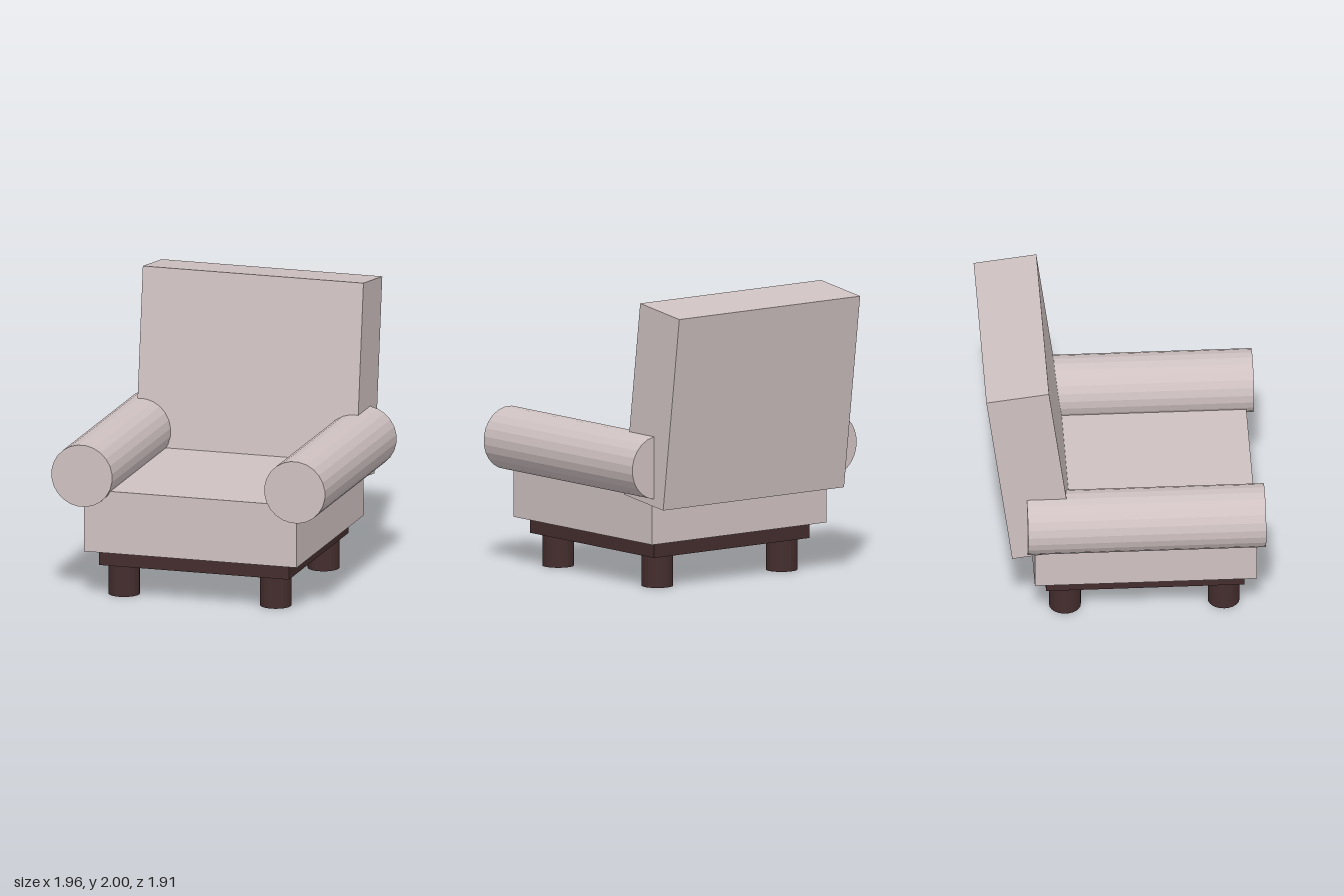
import * as THREE from 'three';

const fabric = new THREE.MeshStandardMaterial({ color: 0xcfc1c1, flatShading: true });
fabric.name = 'fabric';
const darkWood = new THREE.MeshStandardMaterial({ color: 0x442d2d, flatShading: true });
darkWood.name = 'darkWood';

export function createModel() {
  const armchair = new THREE.Group();
  armchair.name = 'armchair';

  const add = (name, geometry, material, x, y, z) => {
    const mesh = new THREE.Mesh(geometry, material);
    mesh.name = name;
    mesh.position.set(x, y, z);
    armchair.add(mesh);
    return mesh;
  };

  // Wooden plinth and seat block
  add('base', new THREE.BoxGeometry(1.364, 0.11, 1.364), darkWood, 0, 0.277, 0.143);
  add('seat', new THREE.BoxGeometry(1.528, 0.438, 1.526), fabric, 0, 0.551, 0.143);

  // Backrest leaning to the rear
  const back = add('backrest', new THREE.BoxGeometry(1.586, 1.362, 0.434), fabric, 0, 1.2975, -0.651);
  back.rotation.x = -THREE.MathUtils.degToRad(7.5);

  // Bolster arms, with facets turned to face straight up and sideways
  const armGeometry = new THREE.CylinderGeometry(0.219, 0.219, 1.635, 24);
  armGeometry.rotateY(Math.PI / 24).rotateX(Math.PI / 2);

  // Round feet
  const legGeometry = new THREE.CylinderGeometry(0.109, 0.109, 0.222, 24);

  for (const [side, sign] of [['left', 1], ['right', -1]]) {
    add(side + 'Arm', armGeometry, fabric, sign * 0.765, 0.877, 0.14);
    add(side + 'FrontLeg', legGeometry, darkWood, sign * 0.545, 0.111, 0.688);
    add(side + 'BackLeg', legGeometry, darkWood, sign * 0.545, 0.111, -0.402);
  }
  return armchair;
}
